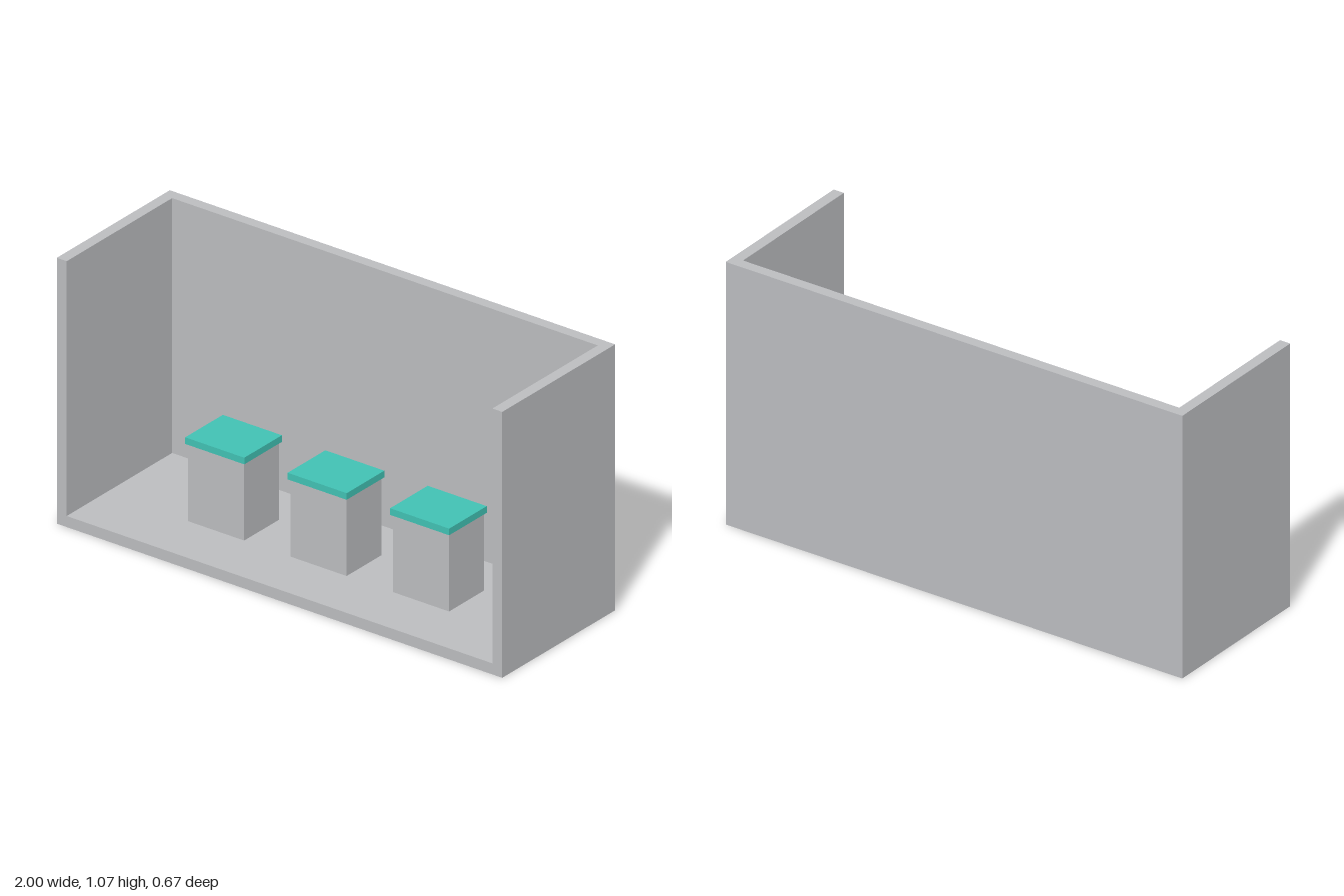
import * as THREE from 'three';

const W = 2, H = 1.067, D = 0.667, T = 0.0444; // outer size and panel thickness

export function createModel() {
  const grey = new THREE.MeshStandardMaterial({ color: 0xbcbdc0 });
  grey.name = 'light grey';
  const teal = new THREE.MeshStandardMaterial({ color: 0x42c2b4 });
  teal.name = 'teal';

  const model = new THREE.Group();
  model.name = 'displayBooth';

  // Box standing on height y
  const box = (parent, name, material, w, h, d, x, y, z) => {
    const mesh = new THREE.Mesh(new THREE.BoxGeometry(w, h, d), material);
    mesh.name = name;
    mesh.position.set(x, y + h / 2, z);
    parent.add(mesh);
  };

  // Open booth: floor, back wall and two side walls
  const wallH = H - T;
  box(model, 'floor', grey, W, T, D, 0, 0, 0);
  box(model, 'backWall', grey, W - 2 * T, wallH, T, 0, T, -(D - T) / 2);
  for (const [name, side] of [['leftWall', 1], ['rightWall', -1]]) {
    box(model, name, grey, T, wallH, D, side * (W - T) / 2, T, 0);
  }

  // Three pedestals with slightly overhanging tops
  ['right', 'middle', 'left'].forEach((place, i) => {
    const stand = new THREE.Group();
    stand.name = place + 'Pedestal';
    stand.position.x = (i - 1) * 0.46;
    box(stand, 'pedestalBody', grey, 0.252, 0.311, 0.206, 0, T, 0);
    box(stand, 'pedestalTop', teal, 0.265, 0.0267, 0.222, 0, T + 0.311, 0);
    model.add(stand);
  });

  return model;
}
